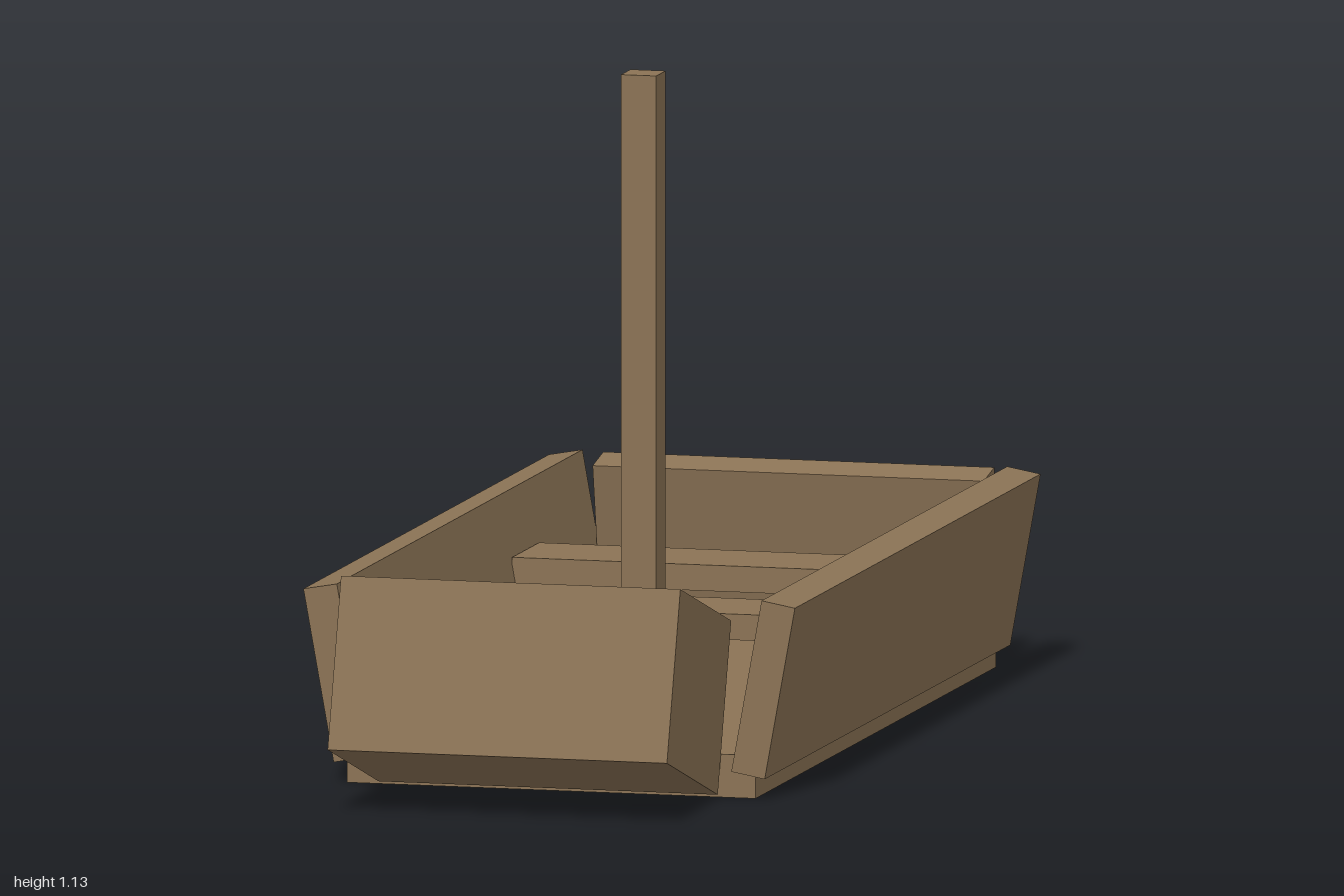
import * as THREE from 'three';

export function createModel() {
  const boat = new THREE.Group();
  boat.name = 'rowingBoat';
  const wood = new THREE.MeshStandardMaterial({ color: 0x8b7355 });
  wood.name = 'brownWood';

  // Adds one plank: size, centre and tilt about x and z
  function plank(name, size, centre, tiltX = 0, tiltZ = 0) {
    const mesh = new THREE.Mesh(new THREE.BoxGeometry(...size), wood);
    mesh.name = name;
    mesh.position.set(...centre);
    mesh.rotation.set(tiltX, 0, tiltZ);
    boat.add(mesh);
  }

  // Flat bottom
  plank('floor', [0.71, 0.073, 1.55], [0, 0.0385, -0.125]);

  // Side boards, flaring outward
  for (const side of [-1, 1]) {
    plank(side > 0 ? 'leftSide' : 'rightSide', [0.059, 0.297, 1.585],
      [side * 0.372, 0.189, -0.128], 0, -side * 0.178);
  }

  // Raised block bow and tilted stern board
  plank('bow', [0.59, 0.296, 0.343], [0, 0.201, 0.792], -0.297);
  plank('stern', [0.68, 0.284, 0.07], [0, 0.188, -0.939], 0.195);

  // Bench seats
  for (const [name, z] of [['frontSeat', 0.053], ['rearSeat', -0.475]]) {
    plank(name, [0.696, 0.044, 0.174], [0, 0.213, z]);
  }

  // Square mast standing on the floor
  plank('mast', [0.061, 1.06, 0.061], [0, 0.605, 0.057]);

  return boat;
}
